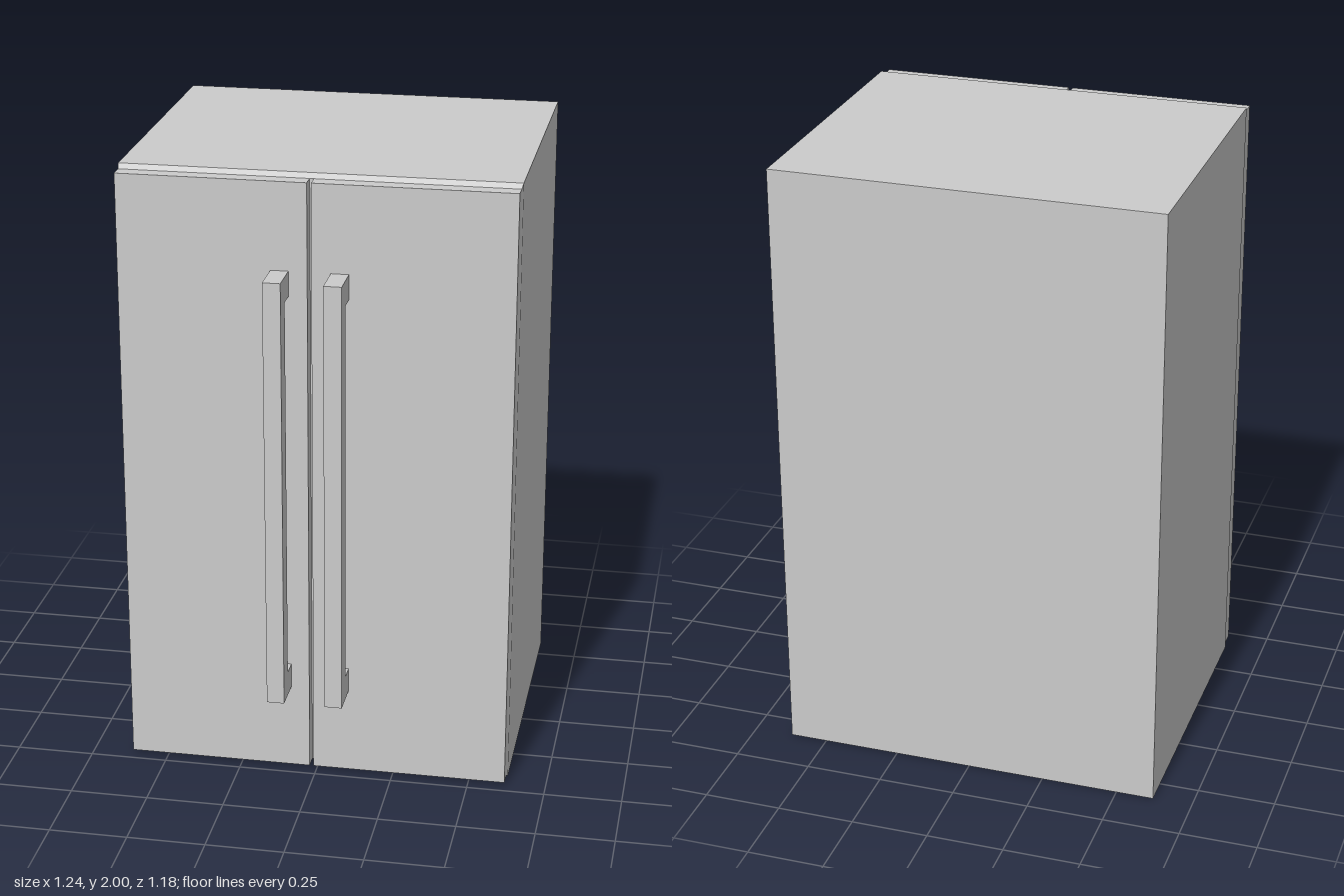
import * as THREE from 'three';

const material = new THREE.MeshStandardMaterial({ color: 0xcccccc, flatShading: true });

// Box given by its lower and upper limits on each axis
function box(name, [x0, x1], [y0, y1], [z0, z1]) {
  const geometry = new THREE.BoxGeometry(x1 - x0, y1 - y0, z1 - z0);
  geometry.translate((x0 + x1) / 2, (y0 + y1) / 2, (z0 + z1) / 2);
  const mesh = new THREE.Mesh(geometry, material);
  mesh.name = name;
  return mesh;
}

// C-shaped pull handle, extruded across its width
function handle(name, x0, x1) {
  const front = 0.588, inner = 0.525, back = 0.465;
  const bottom = 0.295, top = 1.705, foot = 0.08;
  const profile = new THREE.Shape([
    [back, bottom], [front, bottom], [front, top], [back, top],
    [back, top - foot], [inner, top - foot], [inner, bottom + foot], [back, bottom + foot],
  ].map(([z, y]) => new THREE.Vector2(-z, y)));
  const geometry = new THREE.ExtrudeGeometry(profile, { depth: x1 - x0, bevelEnabled: false });
  geometry.rotateY(Math.PI / 2).translate(x0, 0, 0);
  const mesh = new THREE.Mesh(geometry, material);
  mesh.name = name;
  return mesh;
}

export function createModel() {
  const group = new THREE.Group();
  group.name = 'refrigerator';
  const W = 0.622, D = 0.618, yDoor = [0.01, 1.986];

  // Cabinet body
  group.add(box('cabinet', [-W, W], [0, 2], [-0.588, 0.4]));

  // Bevelled front rim: the front face tapers to the door outline
  const rim = box('frontRim', [-W, W], [0, 2], [0.4, 0.417]);
  const p = rim.geometry.attributes.position;
  for (let i = 0; i < p.count; i++) {
    if (p.getZ(i) < 0.41) continue;
    p.setX(i, Math.sign(p.getX(i)) * D);
    p.setY(i, p.getY(i) > 1 ? yDoor[1] : yDoor[0]);
  }
  rim.geometry.computeVertexNormals();
  group.add(rim);

  // Two doors with a narrow gap slightly off centre
  group.add(box('rightDoor', [-D, -0.023], yDoor, [0.417, 0.465]));
  group.add(box('leftDoor', [-0.01, D], yDoor, [0.417, 0.465]));

  // Door handles
  group.add(handle('rightHandle', -0.137, -0.081));
  group.add(handle('leftHandle', 0.05, 0.106));

  return group;
}
